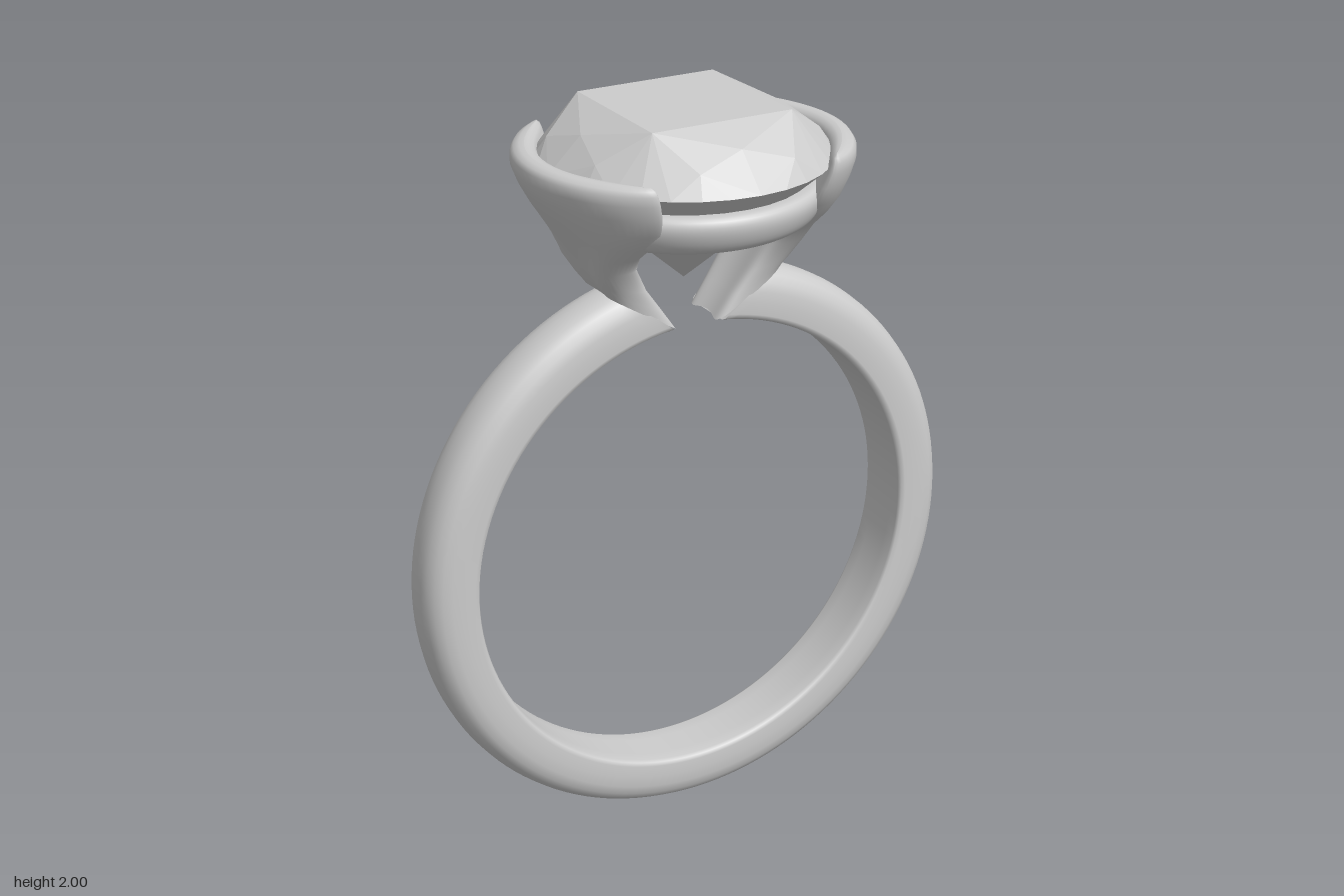
import * as THREE from 'three';
import { ConvexGeometry } from 'three/addons/geometries/ConvexGeometry.js';

const grey = new THREE.MeshStandardMaterial({ color: 0xcccccc });
grey.name = 'grey';

// Skin between closed cross-sections, optionally with flat end caps
function loft(rows, caps) {
  const n = rows[0].length, pos = rows.flat(2), index = [];
  for (let i = 0; i < rows.length - 1; i++) {
    for (let j = 0; j < n; j++) {
      const a = i * n + j, b = i * n + (j + 1) % n;
      index.push(a, a + n, b + n, a, b + n, b);
    }
  }
  if (caps) {
    [rows[0], rows[rows.length - 1]].forEach((row, end) => {
      const base = pos.length / 3;
      pos.push(...row.flat());
      pos.push(...[0, 1, 2].map(k => row.reduce((s, p) => s + p[k], 0) / n));
      for (let j = 0; j < n; j++) {
        const a = base + j, b = base + (j + 1) % n;
        index.push(base + n, end ? b : a, end ? a : b);
      }
    });
  }
  const g = new THREE.BufferGeometry();
  g.setAttribute('position', new THREE.Float32BufferAttribute(pos, 3));
  g.setIndex(index);
  g.computeVertexNormals();
  return g;
}

// Open finger band: flat inside, rounded outside, ends cut on a slant
function bandGeometry() {
  const inner = 0.642, outer = 0.785, steps = 128;
  const half = [[0.642, 0.04], [0.642, 0.076], [0.647, 0.085], [0.658, 0.088], [0.69, 0.088], [0.72, 0.087],
    [0.745, 0.08], [0.764, 0.067], [0.777, 0.047], [0.783, 0.025]];
  const section = [...half, [outer, 0], ...half.map(([r, z]) => [r, -z]).reverse()];
  const rows = [];
  for (let i = 0; i <= steps; i++) {
    rows.push(section.map(([r, z]) => {
      const cut = 0.11 + 0.2 * (r - inner) / (outer - inner);
      const a = cut + (2 * Math.PI - 2 * cut) * i / steps;
      return [r * Math.sin(a), 0.785 + r * Math.cos(a), z];
    }));
  }
  return loft(rows, true);
}

// Arm flaring from the band end into a crescent that grips the stone
function armGeometry() {
  // height, slope, middle x, tip x, half thickness, half width
  const stations = [
    [1.48, 0.62, 0.155, 0.155, 0.085, 0.087],
    [1.52, 0.45, 0.185, 0.18, 0.07, 0.09],
    [1.56, 0.2, 0.215, 0.21, 0.055, 0.1],
    [1.62, 0, 0.25, 0.243, 0.05, 0.125],
    [1.67, 0, 0.28, 0.245, 0.048, 0.17],
    [1.72, 0, 0.315, 0.238, 0.048, 0.235],
    [1.77, 0, 0.35, 0.235, 0.047, 0.285],
    [1.82, 0, 0.383, 0.242, 0.043, 0.31],
    [1.86, 0, 0.405, 0.25, 0.038, 0.322],
    [1.885, 0, 0.408, 0.255, 0.034, 0.322],
    [1.898, 0, 0.408, 0.257, 0.026, 0.317],
    [1.904, 0, 0.408, 0.26, 0.012, 0.31],
    [1.905, 0, 0.408, 0.26, 0, 0.305],
  ];
  const N = 28;
  const rows = stations.map(([y, slope, xm, xt, h, w]) => {
    const point = (k, side) => {
      const t = Math.sin((k / N - 0.5) * Math.PI);
      const thick = h * (1 + 0.4 * t * t) * Math.sqrt(Math.max(0, 1 - t ** 6));
      const x = xt + (xm - xt) * (1 - t * t) + side * thick;
      return [x, y + slope * (x - xm), w * t];
    };
    const row = [];
    for (let k = 0; k <= N; k++) row.push(point(k, 1));
    for (let k = N - 1; k > 0; k--) row.push(point(k, -1));
    return row;
  });
  return loft(rows, false);
}

// Rounded rail circling under the stone
function railGeometry() {
  const profile = new THREE.CatmullRomCurve3([
    [0.27, 1.715], [0.3, 1.705], [0.333, 1.718], [0.353, 1.75], [0.36, 1.785], [0.35, 1.806],
    [0.325, 1.81], [0.295, 1.805], [0.28, 1.78], [0.268, 1.74],
  ].map(([x, y]) => new THREE.Vector3(x, y, 0)), true);
  return new THREE.LatheGeometry(profile.getPoints(32).map(p => new THREE.Vector2(p.x, p.y)), 80);
}

// Faceted stone as the hull of its table, crown, girdle and lower point
function stoneGeometry() {
  const points = [new THREE.Vector3(0, 1.53, 0)];
  const ring = (count, r, y, turn) => {
    for (let i = 0; i < count; i++) {
      const a = turn + i * 2 * Math.PI / count;
      points.push(new THREE.Vector3(r * Math.cos(a), y, r * Math.sin(a)));
    }
  };
  ring(4, 0.278, 2, Math.PI / 4);
  ring(4, 0.29, 1.955, 0);
  ring(8, 0.345, 1.92, Math.PI / 8);
  ring(32, 0.383, 1.865, 0);
  return new ConvexGeometry(points);
}

export function createModel() {
  const model = new THREE.Group();
  model.name = 'ring';
  const add = (name, geometry) => {
    const mesh = new THREE.Mesh(geometry, grey);
    mesh.name = name;
    model.add(mesh);
    return mesh;
  };
  add('band', bandGeometry());
  const arm = armGeometry();
  add('leftArm', arm);
  add('rightArm', arm).rotation.y = Math.PI;
  add('rail', railGeometry());
  add('stone', stoneGeometry());
  return model;
}
